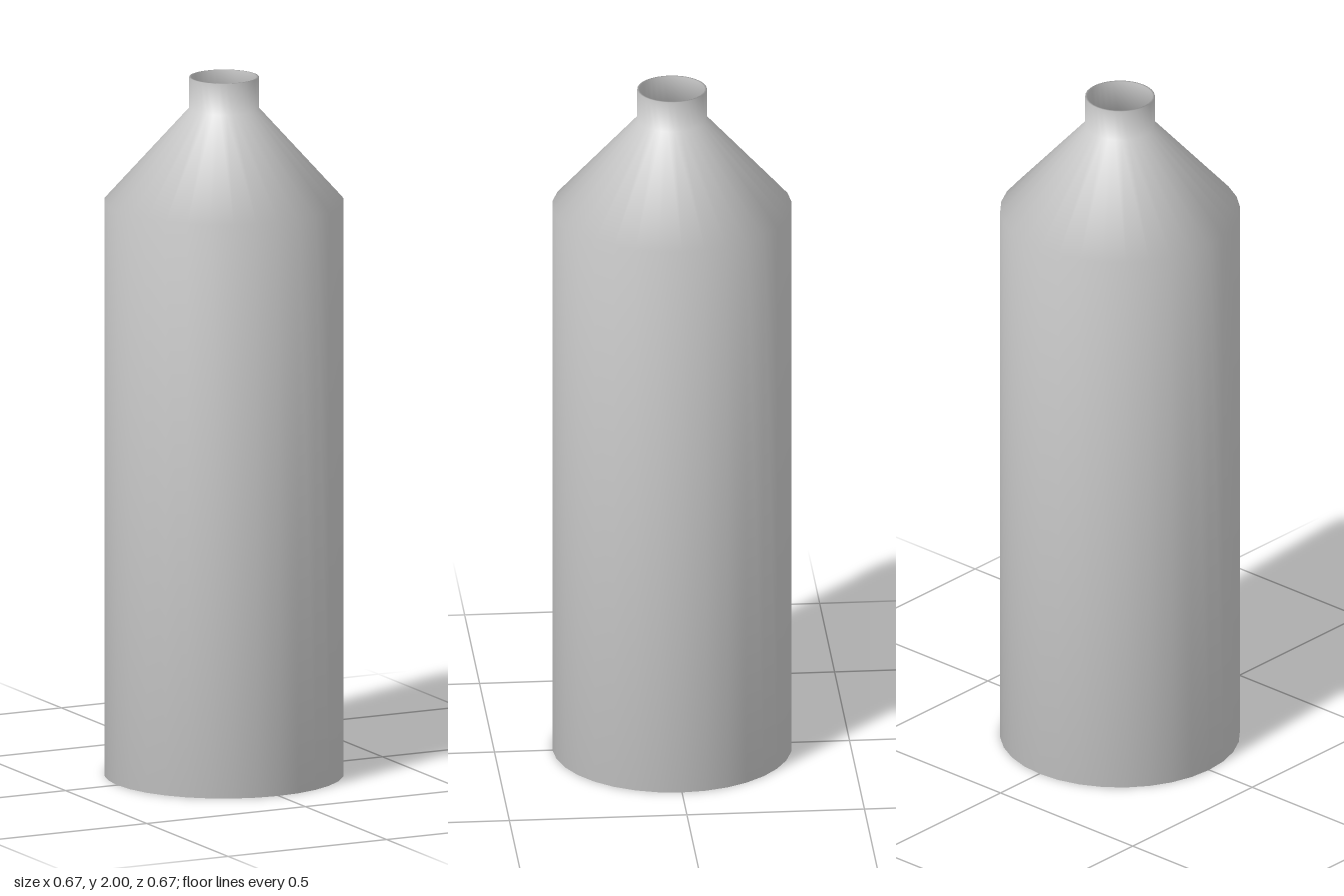
import * as THREE from 'three';

const SEGMENTS = 32;
const WALL = 0.006;

export function createModel() {
  const group = new THREE.Group();
  group.name = 'bottle';
  const material = new THREE.MeshStandardMaterial({ color: 0xcccccc });

  // Outer silhouette: base edge, shoulder, neck, lip
  const outer = [[0.337, 0], [0.337, 1.645], [0.098, 1.91], [0.098, 2]];

  // Inner silhouette: the same wall set in by its thickness, from lip down to floor
  const inner = [
    [0.098 - WALL, 2],
    [0.098 - WALL, 1.907],
    [0.337 - WALL, 1.642],
    [0.337 - WALL, WALL],
  ];

  // One closed, hollow shell with an open mouth
  const profile = [[0, 0], ...outer, ...inner, [0, WALL]]
    .map(([r, y]) => new THREE.Vector2(r, y));
  const shell = new THREE.Mesh(new THREE.LatheGeometry(profile, SEGMENTS), material);
  shell.name = 'bottleShell';
  group.add(shell);

  return group;
}
